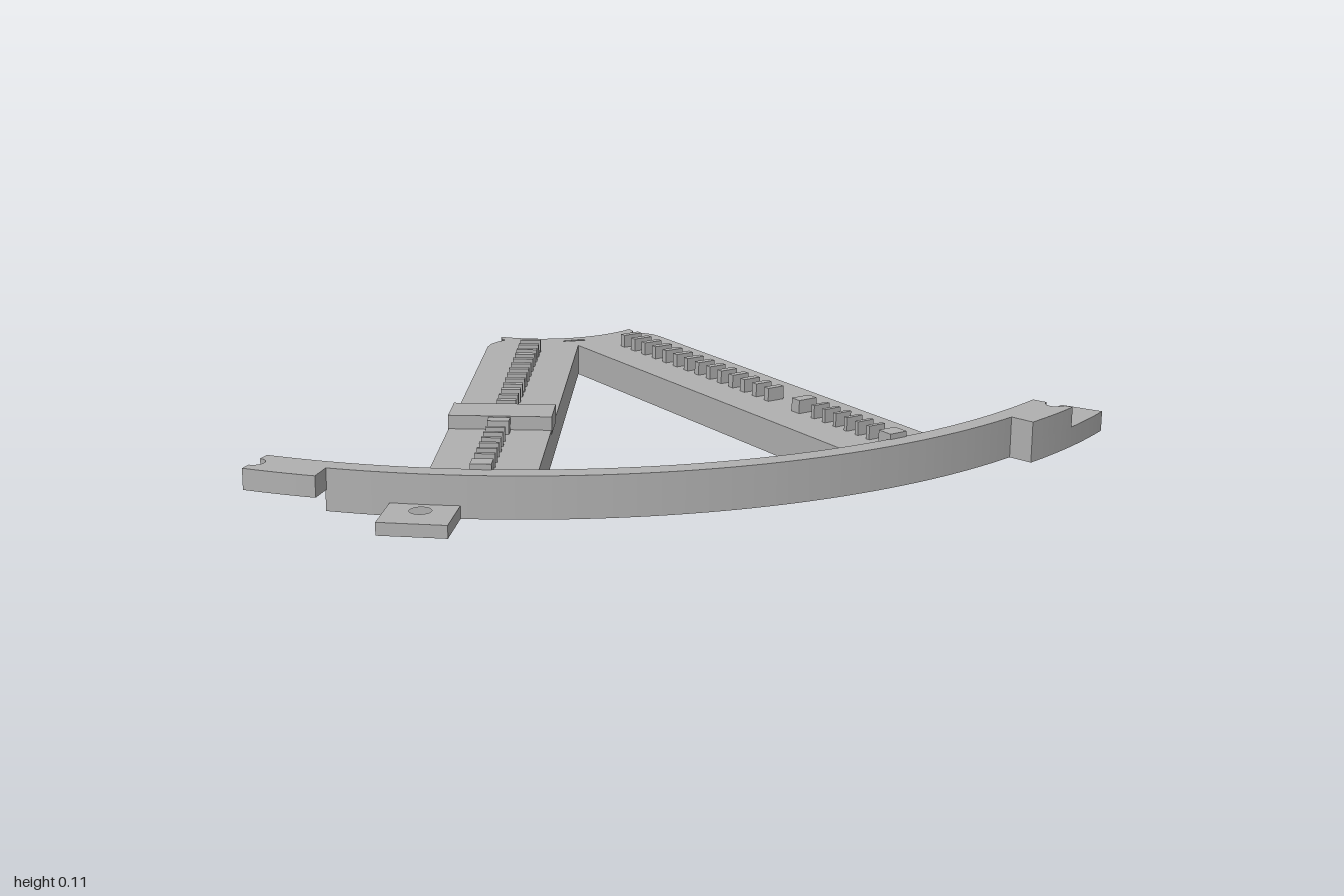
import * as THREE from 'three';

const rad = THREE.MathUtils.degToRad;
const CX = -0.917, CZ = -0.448;           // common centre of the rim and hub arcs
const A1 = 4.86, A2 = 40.8, MID = (A1 + A2) / 2;
const W = 0.122;                          // half width of an arm
const R_IN = 1.58, R_OUT = 1.627, R_TAB = 1.688, HOLE = 0.025;

// Point [x, z] at a distance along, and across, a ray from the centre
const at = (along, across, deg) => {
  const c = Math.cos(rad(deg)), s = Math.sin(rad(deg));
  return [CX + along * c - across * s, CZ + along * s + across * c];
};
const arc = (r, a0, a1, n) =>
  Array.from({ length: n + 1 }, (_, i) => at(r, 0, a0 + (a1 - a0) * i / n));
const circle = ([x, z], r) => Array.from({ length: 20 }, (_, i) =>
  [x + r * Math.cos(i * Math.PI / 10), z + r * Math.sin(i * Math.PI / 10)]);

// Half-round bolt notch cut into the end of a sector
const notch = (r, deg, side) => Array.from({ length: 11 }, (_, i) => {
  const t = i * Math.PI / 10;
  return at(r + HOLE * Math.cos(t), -side * HOLE * Math.sin(t), deg);
});
const sector = (r0, r1, a0, a1, n, endCut = []) =>
  [...arc(r1, a0, a1, n), ...endCut, ...arc(r0, a1, a0, n)];

export function createModel() {
  const model = new THREE.Group();
  const grey = new THREE.MeshStandardMaterial({ color: 0xb0b0b0 });
  grey.name = 'plain grey';

  const add = (name, geometry, parent = model) => {
    const mesh = new THREE.Mesh(geometry, grey);
    mesh.name = name;
    parent.add(mesh);
    return mesh;
  };
  // Flat outline in x, z raised from y0 to y1
  const slab = (name, points, y0, y1, holes = []) => {
    const v2 = list => list.map(([x, z]) => new THREE.Vector2(x, -z));
    const shape = new THREE.Shape(v2(points));
    shape.holes = holes.map(h => new THREE.Path(v2(h)));
    const g = new THREE.ExtrudeGeometry(shape, { depth: y1 - y0, bevelEnabled: false });
    g.rotateX(-Math.PI / 2);
    g.translate(0, y0, 0);
    return add(name, g);
  };
  // Box lying along a ray from the centre
  const block = (name, along, deg, length, y0, y1, width, parent) => {
    const [x, z] = at(along, 0, deg);
    const mesh = add(name, new THREE.BoxGeometry(length, y1 - y0, width), parent);
    mesh.position.set(x, (y0 + y1) / 2, z);
    mesh.rotation.y = -rad(deg);
  };

  // Curved rim, with the lower half ending before the front lap joint
  slab('rim', sector(R_IN, R_OUT, -7.2, 53, 64), 0, 0.1);
  slab('frontLapTab', sector(R_IN, R_TAB, 52.9, 58.9, 8, notch(1.635, 58.9, 1)), 0.05, 0.1);

  // Back lap joint: a long low shelf and a short upper block sharing one bolt hole
  slab('backLapShelf', sector(R_IN, R_TAB, -7.2, -19.1, 14), 0, 0.05,
    [circle(at(1.642, 0, -13.2), HOLE)]);
  slab('backLapBlock', sector(R_IN, R_TAB, -7.2, -13.2, 8, notch(1.642, -13.2, -1)), 0.05, 0.1);

  // Square mounting foot outside the rim
  slab('mountingFoot',
    [at(1.6, -0.079, 45), at(1.76, -0.079, 45), at(1.76, 0.079, 45), at(1.6, 0.079, 45)],
    0, 0.03, [circle(at(1.67, 0, 45), HOLE)]);

  // Two arms joined at a concave hub: top panel over thin walls, open below
  const lug = [[1.59, 0.122], [0.405, 0.122], [0.375, 0.117], [0.345, 0.1],
    [0.328, 0.082], [0.318, 0.092], [0.294, 0.097]];
  const outline = [
    ...lug.map(([r, p]) => at(r, -p, A1)),
    ...arc(0.308, -13, 58.7, 16),
    ...lug.slice().reverse().map(([r, p]) => at(r, p, A2)),
    at(1.59, -W, A2),
    at(W / Math.sin(rad((A2 - A1) / 2)), 0, MID),
    at(1.59, W, A1),
  ];
  slab('armPanel', outline, 0.06, 0.08,
    [[at(0.333, 0, 17.5), at(0.345, 0, 17.5), at(0.342, 0, 27.5), at(0.336, 0, 27.5)]]);

  const walls = new THREE.Group();
  walls.name = 'armWalls';
  model.add(walls);
  const T = 0.015;
  outline.forEach(([x0, z0], i) => {
    const [x1, z1] = outline[(i + 1) % outline.length];
    const dx = x1 - x0, dz = z1 - z0, len = Math.hypot(dx, dz);
    const wall = add('wall', new THREE.BoxGeometry(len, 0.07, T), walls);
    wall.position.set((x0 + x1) / 2 + dz / len * T / 2, 0.035, (z0 + z1) / 2 - dx / len * T / 2);
    wall.rotation.y = -Math.atan2(dz, dx);
  });

  // Rows of teeth along each arm
  [A1, A2].forEach((deg, k) => {
    const teeth = new THREE.Group();
    teeth.name = k ? 'frontArmTeeth' : 'backArmTeeth';
    model.add(teeth);
    const tooth = (r, length, width) => block('tooth', r, deg, length, 0.075, 0.113, width, teeth);
    for (let i = 0; i < 14; i++) tooth(0.452 + i * 0.05, 0.018, 0.054 - i * 0.0006);
    tooth(1.226, 0.03, 0.052);
    for (let i = 0; i < 6; i++) tooth(1.291 + i * 0.042, 0.011, 0.046);
    tooth(1.563, 0.042, 0.048);
  });

  // Raised strap across the front arm
  block('strap', 1.145, A2, 0.11, 0.07, 0.113, 2 * W + 0.002);

  return model;
}
